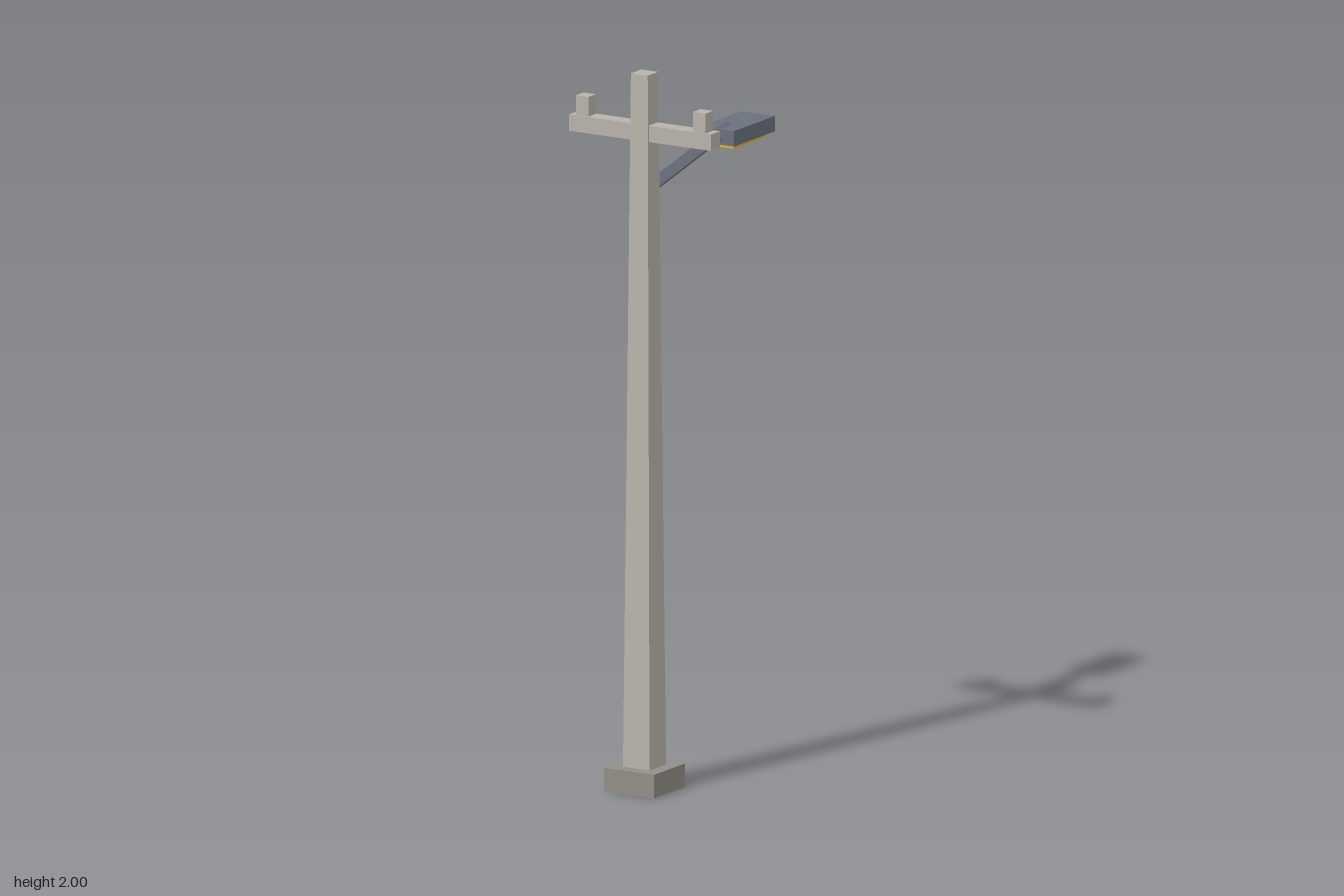
import * as THREE from 'three';

const POLE_Z = 0.252;

function material(name, color) {
  const m = new THREE.MeshStandardMaterial({ color });
  m.name = name;
  return m;
}

export function createModel() {
  const group = new THREE.Group();
  group.name = 'streetLightPole';
  const concrete = material('paleConcrete', 0xb8b4ab);
  const footing = material('darkConcrete', 0x928e87);
  const metal = material('slateMetal', 0x6a707d);
  const lens = material('amberLens', 0xe0b030);

  function add(name, geometry, mat, x, y, z) {
    const mesh = new THREE.Mesh(geometry, mat);
    mesh.name = name;
    mesh.position.set(x, y, z);
    group.add(mesh);
    return mesh;
  }
  const box = (name, w, h, d, mat, x, y, z) =>
    add(name, new THREE.BoxGeometry(w, h, d), mat, x, y, z);

  // Footing block
  box('base', 0.16, 0.066, 0.16, footing, 0, 0.033, POLE_Z);

  // Square tapered pole: scale the top and bottom rings of a box
  const poleBottom = 0.06, poleHeight = 2 - poleBottom;
  const poleGeo = new THREE.BoxGeometry(1, poleHeight, 1);
  const p = poleGeo.attributes.position;
  for (let i = 0; i < p.count; i++) {
    const width = p.getY(i) > 0 ? 0.054 : 0.085;
    p.setX(i, p.getX(i) * width);
    p.setZ(i, p.getZ(i) * width);
  }
  poleGeo.computeVertexNormals();
  add('pole', poleGeo, concrete, 0, poleBottom + poleHeight / 2, POLE_Z);

  // Crossarm with an insulator near each end
  box('crossarm', 0.453, 0.046, 0.046, concrete, 0, 1.837, POLE_Z);
  for (const side of [-1, 1]) {
    box(side > 0 ? 'leftInsulator' : 'rightInsulator',
      0.04, 0.056, 0.04, concrete, side * 0.187, 1.887, POLE_Z);
  }

  // Diamond-section lamp arm rising toward the back
  const start = new THREE.Vector3(0, 1.668, 0.25);
  const end = new THREE.Vector3(0, 1.76, -0.177);
  const dir = end.clone().sub(start);
  const armGeo = new THREE.CylinderGeometry(0.021, 0.021, dir.length(), 4).toNonIndexed();
  armGeo.computeVertexNormals();
  const mid = start.clone().add(end).multiplyScalar(0.5);
  const arm = add('lampArm', armGeo, metal, mid.x, mid.y, mid.z);
  arm.quaternion.setFromUnitVectors(new THREE.Vector3(0, 1, 0), dir.normalize());

  // Lamp head with the lens set under it
  box('lampHead', 0.106, 0.043, 0.212, metal, 0, 1.746, -0.229);
  box('lampLens', 0.082, 0.016, 0.162, lens, 0, 1.721, -0.222);

  return group;
}
